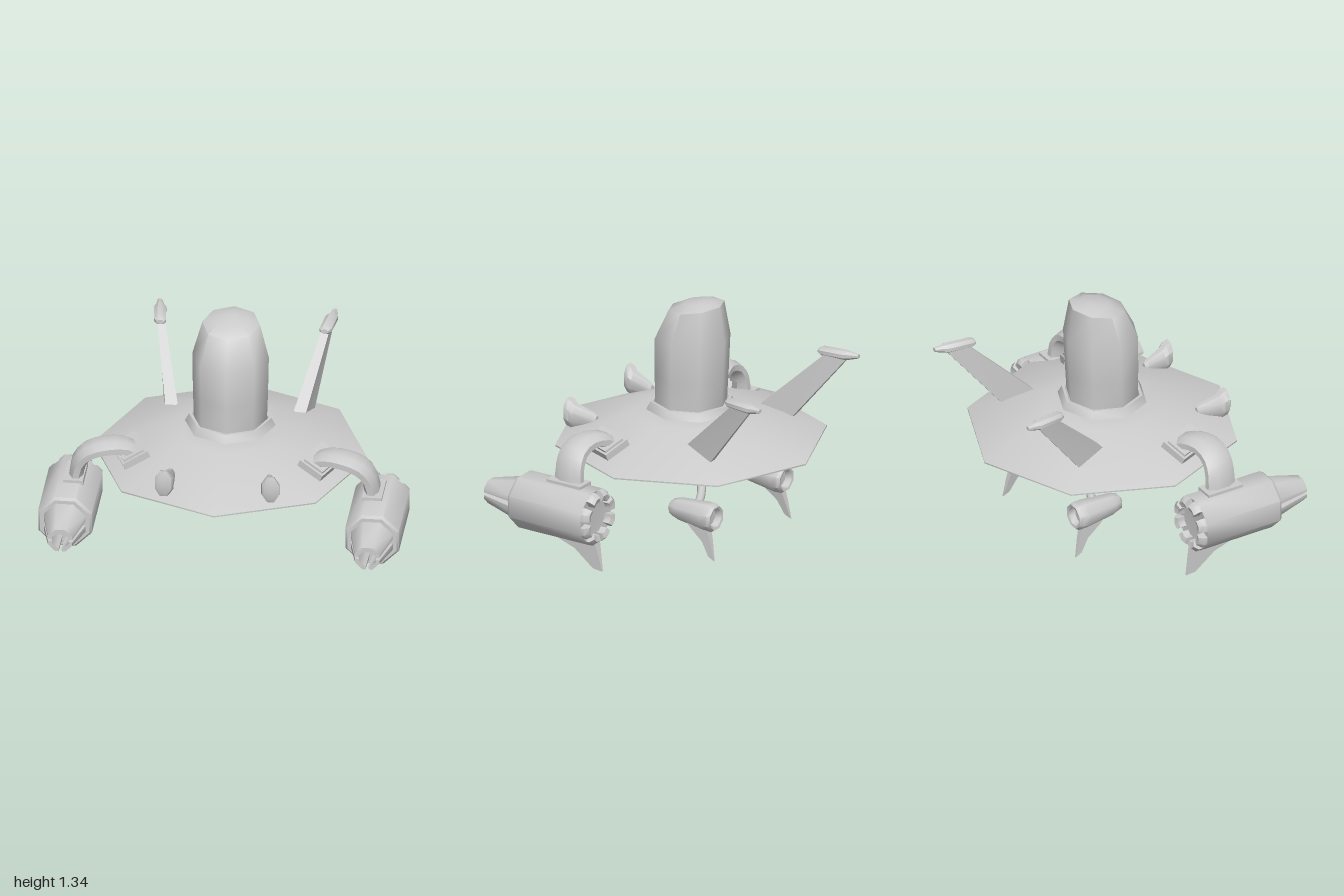
import * as THREE from 'three';
import { toCreasedNormals } from 'three/addons/utils/BufferGeometryUtils.js';

const V = (x, y, z) => new THREE.Vector3(x, y, z);
const D = Math.PI / 180;
const material = new THREE.MeshStandardMaterial({ color: 0xcccccc, side: THREE.DoubleSide });

// Skin a closed solid over rings of equal point count, winding it outwards
function loft(rings, crease = 0.5) {
  const tris = [];
  const n = rings[0].length;
  for (let i = 0; i < rings.length - 1; i++) {
    for (let j = 0; j < n; j++) {
      const k = (j + 1) % n, a = rings[i], b = rings[i + 1];
      tris.push([a[j], a[k], b[k]], [a[j], b[k], b[j]]);
    }
  }
  const cap = (r, flip) => {
    const c = r.reduce((s, p) => s.add(p), V(0, 0, 0)).divideScalar(n);
    for (let j = 0; j < n; j++) {
      const k = (j + 1) % n;
      tris.push(flip ? [c, r[k], r[j]] : [c, r[j], r[k]]);
    }
  };
  cap(rings[0], true);
  cap(rings[rings.length - 1], false);
  let volume = 0;
  for (const [a, b, c] of tris) volume += a.dot(b.clone().cross(c));
  if (volume < 0) tris.forEach((t) => t.reverse());
  const geo = new THREE.BufferGeometry().setFromPoints(tris.flat());
  return toCreasedNormals(geo, crease);
}

function add(parent, name, geo) {
  const m = new THREE.Mesh(geo, material);
  m.name = name;
  parent.add(m);
  return m;
}

// Ring facing z; turn = 0.5 puts flats on top and at the sides
const ringZ = (x, y, z, rx, ry = rx, n = 8, turn = 0.5) =>
  Array.from({ length: n }, (_, i) => {
    const a = ((i + turn) / n) * Math.PI * 2;
    return V(x + rx * Math.cos(a), y + ry * Math.sin(a), z);
  });

// Horizontal ring with a front-to-back slope
const ringY = (y, z, rx, rz, slope = 0, n = 8) =>
  Array.from({ length: n }, (_, i) => {
    const a = (i / n) * Math.PI * 2;
    return V(rx * Math.sin(a), y - slope * Math.cos(a), z + rz * Math.cos(a));
  });

// Blade from a [z, y] outline; xAt gives the middle and half thickness by height
const blade = (outline, s, xAt) =>
  loft([-1, 1].map((e) => outline.map(([z, y]) => {
    const [x, h] = xAt(y);
    return V(s * (x + e * h), y, z);
  })));

// Section [[radius, z], ...] swept along octagon angles around (cx, cy)
const sector = (cx, cy, angles, section) =>
  loft(angles.map((deg) => {
    const off = ((((deg % 45) + 45) % 45) + 22.5) % 45 - 22.5;
    const k = 1 / Math.cos(off * D);
    return section.map(([r, z]) => V(cx + r * k * Math.cos(deg * D), cy + r * k * Math.sin(deg * D), z));
  }), 0.9);

function lathe(points) {
  const g = new THREE.LatheGeometry(points.map((p) => new THREE.Vector2(...p)), 8);
  return toCreasedNormals(g.toNonIndexed(), 0.85);
}

function engine(s) {
  const g = new THREE.Group();
  g.name = 'engine';
  const x = s * 0.85, y = 0.317;
  add(g, 'engineBody', loft([
    ringZ(x, y, 0.075, 0.115), ringZ(x, y, 0.07, 0.161), ringZ(x, y, 0.54, 0.161), ringZ(x, y, 0.558, 0.147),
  ], 0.85));
  // Slotted front nozzle
  const tooth = [[0.118, 0.55], [0.067, 0.765], [0.045, 0.765], [0.075, 0.55]];
  for (const angles of [
    [8, 22.5, 67.5, 112.5, 157.5, 172],
    [186, 202.5, 247.5, 262],
    [278, 292.5, 337.5, 354],
  ]) add(g, 'nozzleProng', sector(x, y, angles, tooth));
  // Petals round the exhaust
  for (let i = 0; i < 8; i++) {
    const a = i * 45 + 22.5;
    add(g, 'exhaustPetal', sector(x, y, [a - 15, a, a + 15],
      [[0.148, 0.08], [0.148, 0.05], [0.125, 0.025], [0.097, 0.035], [0.097, 0.08]]));
  }
  add(g, 'engineFin', blade(
    [[0.31, 0.2], [0.31, 0.165], [0.18, 0.12], [0.06, 0.025], [0, 0.02], [0.03, 0.13], [0.05, 0.2]], s,
    (h) => [0.885 - 0.1 * (h - 0.02), 0.004 + 0.13 * (h - 0.02)]));
  return g;
}

function engineArm(s) {
  const g = new THREE.Group();
  g.name = 'engineArm';
  // Curved flattened pipe
  const path = new THREE.CatmullRomCurve3([
    V(0.49, 0.6, 0.21), V(0.56, 0.646, 0.235), V(0.66, 0.655, 0.268),
    V(0.755, 0.622, 0.275), V(0.805, 0.555, 0.268), V(0.822, 0.45, 0.262)]);
  const rings = [];
  for (let i = 0; i <= 10; i++) {
    const t = i / 10, p = path.getPoint(t), dir = path.getTangent(t);
    const side = V(-0.39 * (1 - t), 0, 1).normalize();
    const up = side.clone().cross(dir).normalize();
    rings.push(Array.from({ length: 8 }, (_, j) => {
      const a = (j + 0.5) * 45 * D;
      const q = p.clone().addScaledVector(side, 0.093 * Math.cos(a)).addScaledVector(up, 0.043 * Math.sin(a));
      q.x *= s;
      return q;
    }));
  }
  add(g, 'armPipe', loft(rings, 0.9));
  // Stepped sockets at both ends
  const frame = (name, c, w, d, h, yaw, tilt) => {
    const m = add(g, name, new THREE.BoxGeometry(w, h, d));
    m.position.set(s * c.x, c.y, c.z);
    m.rotation.set(0, -s * yaw, -s * tilt, 'YXZ');
  };
  frame('hullSocket', V(0.525, 0.605, 0.222), 0.155, 0.245, 0.05, 22.5 * D, 24 * D);
  frame('hullSocketStep', V(0.53, 0.612, 0.224), 0.125, 0.215, 0.06, 22.5 * D, 24 * D);
  frame('engineSocket', V(0.827, 0.465, 0.262), 0.11, 0.22, 0.035, 0, 0);
  return g;
}

function thruster(s) {
  const g = new THREE.Group();
  g.name = 'thruster';
  const x = s * 0.345;
  // Bullet body with a recessed exhaust
  add(g, 'thrusterBody', loft([
    ringZ(x, 0.247, -0.088, 0.022), ringZ(x, 0.247, -0.105, 0.047), ringZ(x, 0.247, -0.15, 0.062),
    ringZ(x, 0.241, -0.33, 0.082), ringZ(x, 0.241, -0.375, 0.08), ringZ(x, 0.241, -0.392, 0.07),
    ringZ(x, 0.241, -0.388, 0.056), ringZ(x, 0.241, -0.35, 0.05),
  ], 0.85));
  add(g, 'thrusterFin', blade(
    [[-0.22, 0.19], [-0.25, 0.16], [-0.32, 0.1], [-0.36, 0.02], [-0.398, 0], [-0.375, 0.1], [-0.35, 0.19]], s,
    (h) => [0.377 - 0.09 * h, 0.004 + 0.1 * h]));
  const path = new THREE.CatmullRomCurve3([
    V(s * 0.15, 0.4, -0.15), V(s * 0.18, 0.35, -0.18), V(s * 0.24, 0.317, -0.22), V(s * 0.33, 0.285, -0.26)]);
  add(g, 'thrusterStrut', new THREE.TubeGeometry(path, 8, 0.024, 8));
  return g;
}

function tailFin(s) {
  const g = new THREE.Group();
  g.name = 'tailFin';
  const quad = (y1, z1, x1, h1, y2, z2, x2, h2) => [
    V(s * (x1 - h1), y1, z1), V(s * (x1 + h1), y1, z1), V(s * (x2 + h2), y2, z2), V(s * (x2 - h2), y2, z2)];
  add(g, 'finBlade', loft([
    quad(0.66, -0.23, 0.355, 0.035, 0.6, -0.4, 0.4, 0.018),
    quad(0.99, -0.575, 0.455, 0.022, 0.99, -0.71, 0.478, 0.012),
  ], 0.3));
  const pod = (z, x, y, w, h) => ringZ(s * x, y, z, w, h);
  add(g, 'finPod', loft([
    pod(-0.535, 0.455, 1.005, 0.022, 0.014), pod(-0.555, 0.458, 1.005, 0.036, 0.026),
    pod(-0.7, 0.475, 1.005, 0.036, 0.028), pod(-0.725, 0.478, 1.006, 0.024, 0.024),
    pod(-0.775, 0.485, 1.01, 0.014, 0.012),
  ], 0.6));
  return g;
}

function frontHorn(s) {
  // Flared stub growing out of the hull
  const h = (z, x, y, rx, ry) => ringZ(s * x, y, z, rx, ry);
  return loft([
    h(0.45, 0.272, 0.6, 0.018, 0.035), h(0.47, 0.274, 0.605, 0.026, 0.045), h(0.575, 0.29, 0.615, 0.046, 0.07),
    h(0.595, 0.293, 0.625, 0.055, 0.084), h(0.625, 0.297, 0.635, 0.05, 0.084), h(0.635, 0.297, 0.63, 0.034, 0.055),
  ], 0.6);
}

export function createModel() {
  const model = new THREE.Group();
  model.name = 'saucerCraft';

  // Eight-sided hull with its belly
  add(model, 'saucerHull', lathe([
    [0, 0.368], [0.1, 0.37], [0.27, 0.39], [0.41, 0.43], [0.46, 0.505], [0.6, 0.505],
    [0.76, 0.522], [0.76, 0.53], [0.345, 0.695], [0.24, 0.703], [0, 0.703],
  ]).translate(0, 0, 0.01));
  add(model, 'domeCollar', lathe([
    [0.255, 0.695], [0.228, 0.747], [0.212, 0.747], [0.205, 0.73], [0, 0.73],
  ]).translate(0, 0, 0.01));

  // Tall canopy, raked towards the front
  add(model, 'dome', loft([
    ringY(0.72, 0.01, 0.202, 0.2), ringY(0.9, 0.006, 0.208, 0.207), ringY(1.12, 0, 0.212, 0.212),
    ringY(1.305, -0.025, 0.16, 0.155, 0.024), ringY(1.332, -0.045, 0.09, 0.09, 0.01),
    ringY(1.344, -0.075, 0.025, 0.025),
  ], 0.95));

  for (const s of [-1, 1]) {
    model.add(engine(s), engineArm(s), thruster(s), tailFin(s));
    add(model, 'frontHorn', frontHorn(s));
  }
  return model;
}
